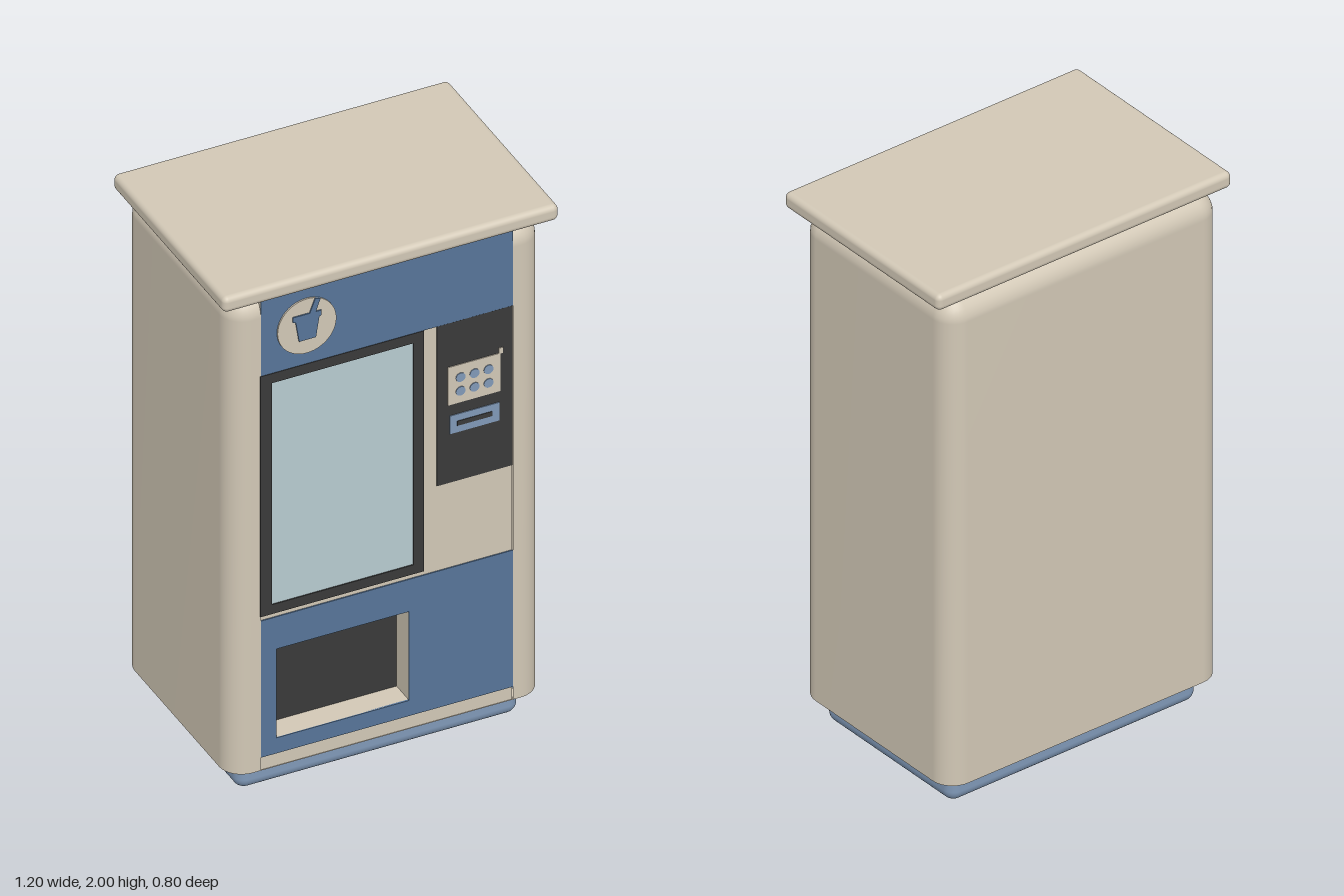
import * as THREE from 'three';
import { RoundedBoxGeometry } from 'three/addons/geometries/RoundedBoxGeometry.js';

const material = (name, color, side = THREE.FrontSide) => {
  const m = new THREE.MeshStandardMaterial({ color, side });
  m.name = name;
  return m;
};

// Closed shape from x/y pairs
const poly = (points) => new THREE.Shape(points.map(([x, y]) => new THREE.Vector2(x, y)));
const rect = (x0, x1, y0, y1) => poly([[x0, y0], [x1, y0], [x1, y1], [x0, y1]]);

export function createModel() {
  const group = new THREE.Group();
  const beige = material('warm beige', 0xd2c8b6, THREE.DoubleSide);
  const blue = material('panel blue', 0x577599);
  const lightBlue = material('light blue', 0x8099b8);
  const dark = material('charcoal', 0x3a3a3a);
  const glass = material('pale glass', 0xb7cbd0);

  const add = (name, geometry, mat, x = 0, y = 0, z = 0) => {
    const mesh = new THREE.Mesh(geometry, mat);
    mesh.name = name;
    mesh.position.set(x, y, z);
    group.add(mesh);
    return mesh;
  };
  // Flat part cut from a shape, between two depths
  const plate = (name, shape, mat, z0, z1) =>
    add(name, new THREE.ExtrudeGeometry(shape, { depth: z1 - z0, bevelEnabled: false, curveSegments: 32 }), mat, 0, 0, z0);

  // Cabinet shell: sides and back with rounded corners and a rounded top, open at the front
  const R = 0.08, bottom = 0.105, top = 1.94, frontZ = 0.365, backZ = -0.4, halfW = 0.56, openW = 0.45;
  const outline = (r) => {
    const points = [[openW, frontZ - R + r]];
    const corners = [[1, frontZ - R], [1, backZ + R], [-1, backZ + R], [-1, frontZ - R]];
    corners.forEach(([side, cz], k) => {
      for (let i = 0; i <= 8; i++) {
        const a = (k + i / 8) * Math.PI / 2;
        points.push([side * (halfW - R) + r * Math.sin(a), cz + r * Math.cos(a)]);
      }
    });
    points.push([-openW, frontZ - R + r]);
    return points;
  };
  const rings = [[bottom, R]];
  for (let i = 0; i <= 8; i++) {
    const a = i / 8 * Math.PI / 2;
    rings.push([top - R + R * Math.sin(a), Math.max(R * Math.cos(a), 0.001)]);
  }
  const positions = [], index = [], n = outline(R).length;
  rings.forEach(([y, r], j) => {
    outline(r).forEach(([x, z], i) => {
      positions.push(x, y, z);
      if (j < rings.length - 1 && i < n - 1) {
        const a = j * n + i;
        index.push(a, a + 1, a + n + 1, a, a + n + 1, a + n);
      }
    });
  });
  const shell = new THREE.BufferGeometry();
  shell.setAttribute('position', new THREE.Float32BufferAttribute(positions, 3));
  shell.setIndex(index);
  shell.computeVertexNormals();
  add('cabinetShell', shell, beige);
  add('cabinetFloor', new THREE.ShapeGeometry(poly(outline(R))).rotateX(Math.PI / 2), beige, 0, bottom, 0);

  // Roof slab and plinth
  add('roof', new RoundedBoxGeometry(1.2, 0.06, 0.8, 4, 0.02), beige, 0, 1.97, 0);
  add('plinth', new RoundedBoxGeometry(1.01, 0.16, 0.655, 5, 0.04), lightBlue, 0, 0.08, -0.0175);

  // Front fascia with the dispensing pocket cut through it
  const pocket = () => rect(-0.395, 0.08, 0.215, 0.56);
  const fascia = rect(-openW, openW, bottom, top);
  fascia.holes.push(pocket());
  plate('frontFascia', fascia, beige, 0.27, 0.361);
  plate('pocketBack', pocket(), dark, 0.268, 0.274);

  // Blue panels
  plate('headerPanel', rect(-0.45, 0.45, 1.635, top), blue, 0.358, 0.365);
  const lower = rect(-0.45, 0.45, 0.155, 0.685);
  lower.holes.push(pocket());
  plate('lowerPanel', lower, blue, 0.358, 0.365);

  // Display window
  const frame = rect(-0.453, 0.132, 0.702, 1.635);
  frame.holes.push(rect(-0.412, 0.094, 0.738, 1.598));
  plate('windowFrame', frame, dark, 0.358, 0.367);
  plate('windowGlass', rect(-0.412, 0.094, 0.738, 1.598), glass, 0.358, 0.363);

  // Control panel with keypad and coin slot
  plate('controlPanel', rect(0.18, 0.45, 1.015, 1.634), dark, 0.358, 0.364);
  plate('keypad', rect(0.218, 0.405, 1.318, 1.465), beige, 0.362, 0.367);
  plate('keypadTab', rect(0.4, 0.415, 1.463, 1.485), beige, 0.362, 0.367);
  for (const y of [1.363, 1.416]) {
    for (const x of [0.262, 0.312, 0.362]) {
      add('key', new THREE.CylinderGeometry(0.017, 0.017, 0.006, 20).rotateX(Math.PI / 2), lightBlue, x, y, 0.367);
    }
  }
  plate('coinPlate', rect(0.225, 0.402, 1.205, 1.275), lightBlue, 0.362, 0.367);
  plate('coinSlot', rect(0.25, 0.375, 1.231, 1.249), dark, 0.365, 0.369);

  // Round badge with a drink cup pictogram
  add('badgeDisc', new THREE.CylinderGeometry(0.105, 0.105, 0.007, 48).rotateX(Math.PI / 2), beige, -0.288, 1.785, 0.367);
  plate('cup', poly([
    [-0.318, 1.735], [-0.258, 1.735], [-0.246, 1.812], [-0.238, 1.815], [-0.238, 1.834],
    [-0.258, 1.834], [-0.242, 1.88], [-0.26, 1.886], [-0.28, 1.834],
    [-0.34, 1.834], [-0.34, 1.815], [-0.33, 1.812],
  ]), blue, 0.367, 0.375);

  return group;
}
